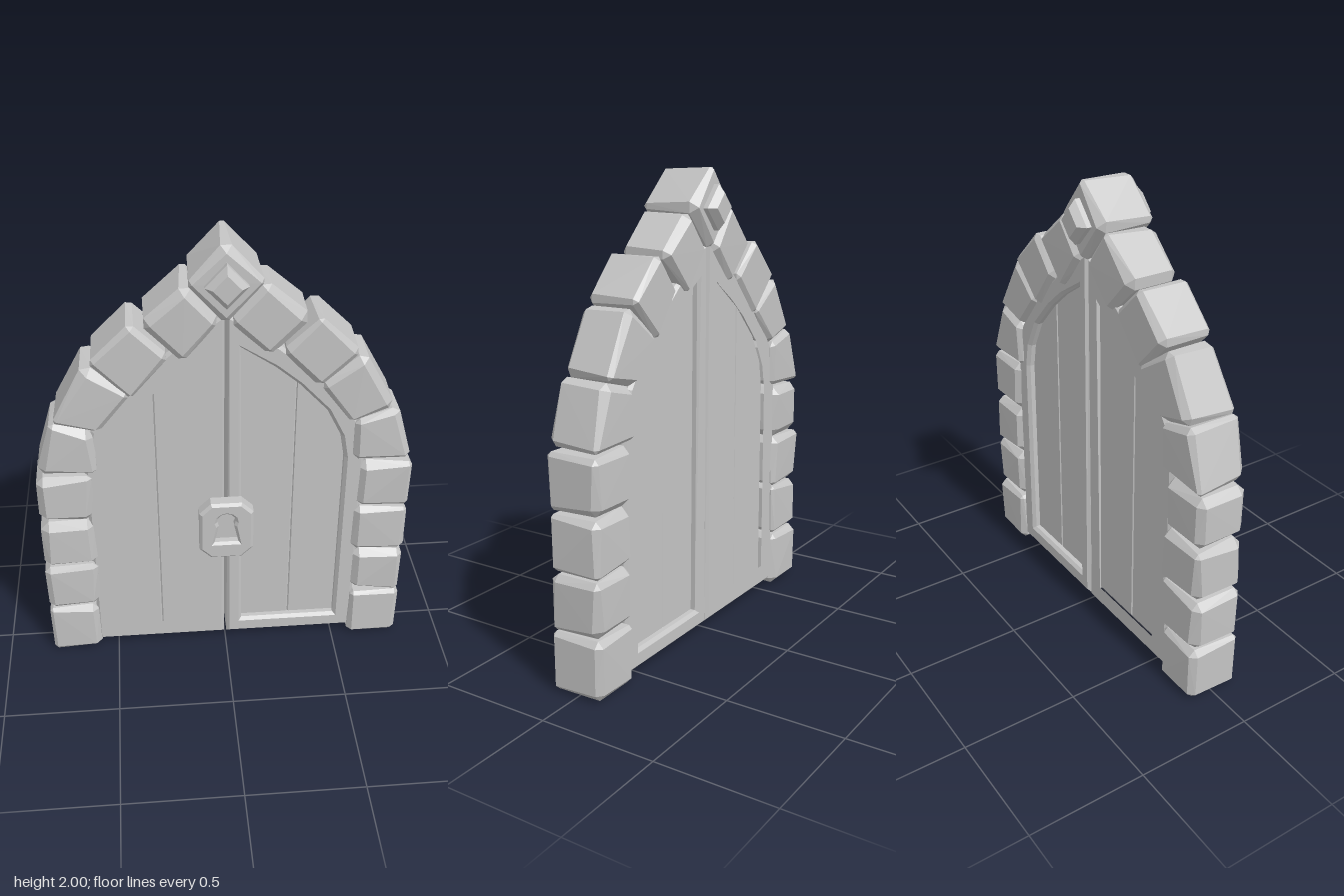
import * as THREE from 'three';
import { ConvexGeometry } from 'three/addons/geometries/ConvexGeometry.js';

const stone = new THREE.MeshStandardMaterial({ color: 0xc4c4c4 });
stone.name = 'pale grey';

let seed = 11;
const rand = () => {
  seed = (seed * 16807) % 2147483647;
  return seed / 2147483647;
};

function add(parent, name, geometry) {
  const mesh = new THREE.Mesh(geometry, stone);
  mesh.name = name;
  parent.add(mesh);
  return mesh;
}

// Roughly hewn block: a four-sided outline with chipped, bevelled corners
function hewnBlock(quad, back, front, bevel = 0.028) {
  const points = [];
  const corners = quad.map(([x, y]) => new THREE.Vector2(x, y));
  corners.forEach((p, i) => {
    const next = corners[(i + 1) % 4].clone().sub(p).normalize();
    const prev = corners[(i + 3) % 4].clone().sub(p).normalize();
    for (const [z, inward] of [[front, -1], [back, 1]]) {
      const b = bevel * (0.6 + 0.8 * rand());
      const put = (u, v, w) => points.push(new THREE.Vector3(
        p.x + next.x * u + prev.x * v, p.y + next.y * u + prev.y * v, z + inward * w));
      put(b, b, rand() * 0.008);
      put(b, rand() * 0.006, b);
      put(rand() * 0.006, b, b);
    }
  });
  return new ConvexGeometry(points);
}

// Flat slab with bevelled edges, centred on z, optionally with a hole
function slab(outline, thickness, bevel, z = 0, hole = null) {
  const toVectors = (list) => list.map(([x, y]) => new THREE.Vector2(x, y));
  const shape = new THREE.Shape(toVectors(outline));
  if (hole) shape.holes.push(new THREE.Path(toVectors(hole)));
  const geometry = new THREE.ExtrudeGeometry(shape, {
    depth: thickness - 2 * bevel, bevelThickness: bevel, bevelSize: bevel,
    bevelOffset: -bevel, bevelSegments: 1,
  });
  return geometry.translate(0, 0, z - thickness / 2 + bevel);
}

export function createModel() {
  const model = new THREE.Group();
  model.name = 'archedDoorway';

  // Stones of one side, from the ground to the top of the arch
  const stones = [
    [[0.57, 0], [0.8, 0], [0.805, 0.255], [0.575, 0.255]],
    [[0.565, 0.265], [0.8, 0.25], [0.805, 0.49], [0.565, 0.505]],
    [[0.56, 0.505], [0.8, 0.495], [0.8, 0.735], [0.56, 0.745]],
    [[0.565, 0.74], [0.8, 0.745], [0.8, 0.975], [0.56, 0.985]],
    [[0.535, 0.995], [0.795, 0.99], [0.715, 1.255], [0.535, 1.2]],
    [[0.52, 1.19], [0.71, 1.25], [0.56, 1.515], [0.375, 1.37]],
    [[0.38, 1.345], [0.55, 1.52], [0.37, 1.69], [0.215, 1.535]],
    [[0.17, 1.505], [0.345, 1.675], [0.155, 1.845], [0.01, 1.675]],
  ];
  // Leaf outline, opening of its frame, and the two planks that fill it
  const leaf = [[0.005, 0.03], [0.59, 0.03], [0.59, 1], [0.55, 1.19], [0.43, 1.37],
    [0.22, 1.55], [0.005, 1.7]];
  const opening = [[0.075, 0.11], [0.505, 0.11], [0.505, 1], [0.485, 1.11], [0.42, 1.24],
    [0.3, 1.37], [0.2, 1.455], [0.06, 1.55]];
  const innerPlank = [[0.04, 0.08], [0.293, 0.08], [0.293, 1.4], [0.04, 1.59]];
  const outerPlank = [[0.293, 0.08], [0.53, 0.08], [0.53, 1], [0.51, 1.12], [0.44, 1.25],
    [0.293, 1.4]];

  for (const side of [1, -1]) {
    const mirror = (list) => list.map(([x, y]) => [x * side, y]);
    const label = side > 0 ? 'left' : 'right';

    const arch = new THREE.Group();
    arch.name = label + 'ArchStones';
    stones.forEach((quad, i) => add(arch, 'archStone' + (i + 1),
      hewnBlock(mirror(quad), -0.122 + rand() * 0.006, 0.127 - rand() * 0.006)));

    const door = new THREE.Group();
    door.name = label + 'DoorLeaf';
    add(door, 'doorFrame', slab(mirror(leaf), 0.19, 0.014, 0, mirror(opening)));
    add(door, 'innerPlank', slab(mirror(innerPlank), 0.12, 0.006));
    add(door, 'outerPlank', slab(mirror(outerPlank), 0.12, 0.006));
    model.add(arch, door);
  }

  // Keystone with a cut gem on each face
  add(model, 'keystone', hewnBlock(
    [[0, 1.66], [0.16, 1.845], [0, 2.015], [-0.16, 1.845]], -0.125, 0.13, 0.025));
  for (const side of [1, -1]) {
    const rings = [[0.085, 0.11], [0.085, 0.145], [0.055, 0.173]];
    const points = rings.flatMap(([r, z]) => [[1, 0], [0, 1], [-1, 0], [0, -1]].map(
      ([x, y]) => new THREE.Vector3(x * r, 1.84 + y * r * 1.08, z * side)));
    add(model, side > 0 ? 'frontGem' : 'backGem', new ConvexGeometry(points));
  }

  // Lock plate with its keyhole cut through to a recessed bottom
  const octagon = (w, h, c) => [[w - c, -h], [w, c - h], [w, h - c], [w - c, h],
    [c - w, h], [-w, h - c], [-w, c - h], [c - w, -h]].map(([x, y]) => [x, y + 0.68]);
  const keyhole = [[-0.052, 0.618], [0.052, 0.618]];
  for (let i = 0; i <= 8; i++) {
    const a = -0.6 + (i / 8) * (Math.PI + 1.2);
    keyhole.push([Math.cos(a) * 0.04, 0.73 + Math.sin(a) * 0.04]);
  }
  const lock = new THREE.Group();
  lock.name = 'lock';
  add(lock, 'lockPlate', slab(octagon(0.117, 0.147, 0.05), 0.07, 0.012, 0.117, keyhole));
  add(lock, 'lockBacking', slab(octagon(0.1, 0.13, 0.045), 0.03, 0.004, 0.098));
  model.add(lock);

  // Rest on the ground
  model.position.y = -new THREE.Box3().setFromObject(model).min.y;
  return model;
}
